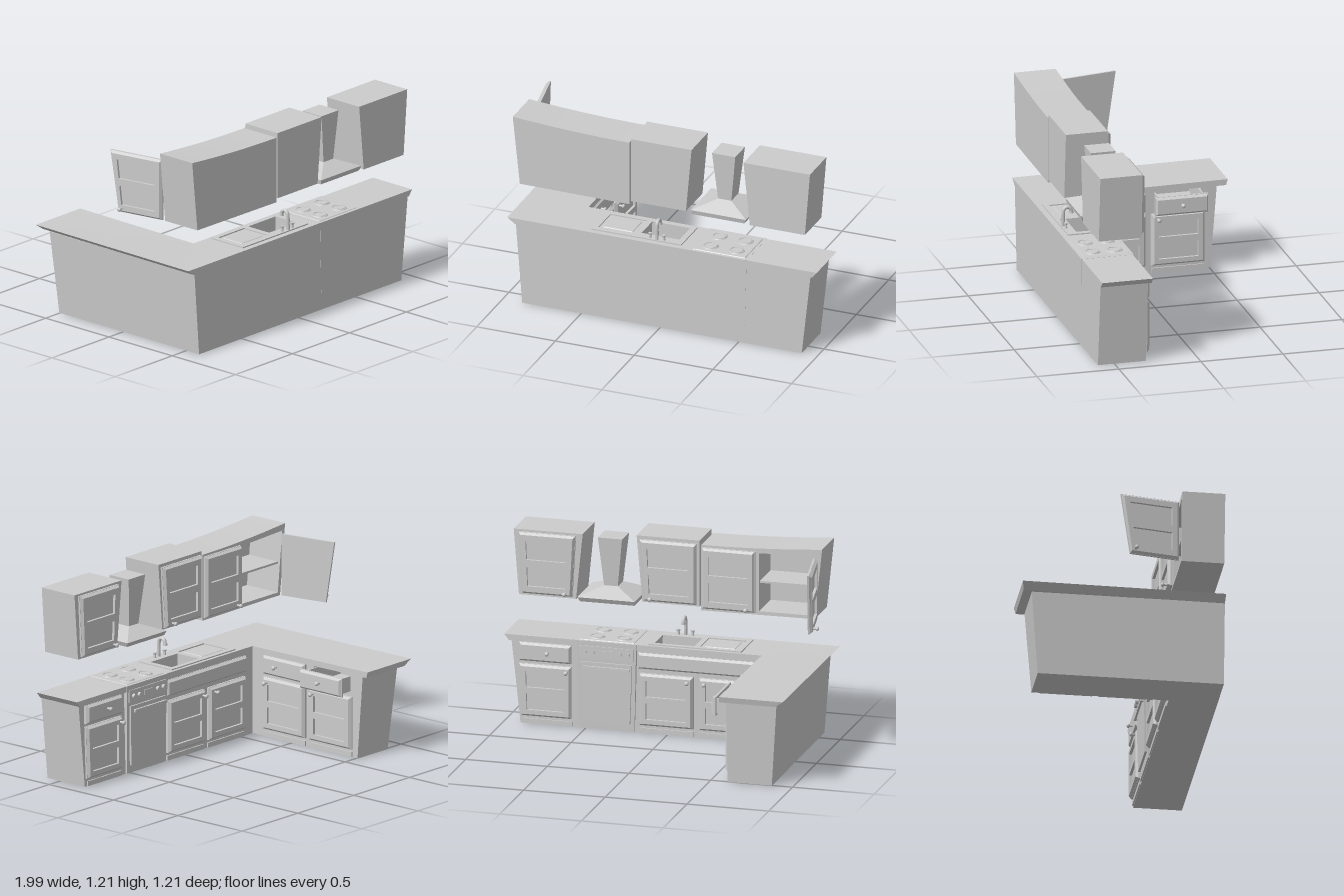
import * as THREE from 'three';

const grey = new THREE.MeshStandardMaterial({ color: 0xcccccc, side: THREE.DoubleSide });

function add(parent, name, geo, x = 0, y = 0, z = 0) {
  const m = new THREE.Mesh(geo, grey);
  m.name = name;
  m.position.set(x, y, z);
  parent.add(m);
  return m;
}

// Move every vertex by a rule, then refresh the normals
function warp(geo, rule) {
  const p = geo.attributes.position, v = new THREE.Vector3();
  for (let i = 0; i < p.count; i++) {
    rule(v.fromBufferAttribute(p, i));
    p.setXYZ(i, v.x, v.y, v.z);
  }
  geo.computeVertexNormals();
  return geo;
}

// Block between a bottom and a top rectangle, each [x0, x1, z0, z1]
function block(b, y0, t, y1) {
  return warp(new THREE.BoxGeometry(1, 1, 1), v => {
    const r = v.y > 0 ? t : b;
    v.set(v.x < 0 ? r[0] : r[1], v.y > 0 ? y1 : y0, v.z < 0 ? r[2] : r[3]);
  });
}

const rect = (a, b, c, d) => [[a, c], [b, c], [b, d], [a, d]];
const toPoints = (pts, s = 1) => pts.map(([a, b]) => new THREE.Vector2(a, b * s));

// Horizontal slab from an [x, z] outline with holes
function slab(outline, holes, y0, y1) {
  const shape = new THREE.Shape(toPoints(outline, -1));
  shape.holes = holes.map(h => new THREE.Path(toPoints(h, -1)));
  return new THREE.ExtrudeGeometry(shape, { depth: y1 - y0, bevelEnabled: false })
    .rotateX(-Math.PI / 2).translate(0, y0, 0);
}

function knob(parent, x, y, z) {
  const g = new THREE.Group();
  g.name = 'knob';
  g.position.set(x, y, z);
  add(g, 'knobStem', new THREE.CylinderGeometry(0.006, 0.008, 0.025, 8).rotateX(Math.PI / 2), 0, 0, 0.01);
  add(g, 'knobHead', new THREE.SphereGeometry(0.013, 12, 8).scale(1, 1, 0.8), 0, 0, 0.025);
  parent.add(g);
}

// Bevelled front facing local +z, with recessed panels; taper = [left, right] narrowing at the bottom
function front(parent, name, w, h, panels, knobAt, taper = [0, 0]) {
  const g = new THREE.Group();
  g.name = name;
  const b = 0.014, a = w / 2 - b, c = h / 2 - b;
  const shape = new THREE.Shape(toPoints(rect(-a, a, -c, c)));
  const ph = h * 0.31;
  for (let i = 0; i < panels; i++) {
    const y = (i ? -1 : 1) * h * 0.215;
    shape.holes.push(new THREE.Path(toPoints(rect(-w * 0.37, w * 0.37, y - ph / 2, y + ph / 2))));
  }
  const lean = v => { v.x *= 1 - (v.x < 0 ? taper[0] : taper[1]) * (0.5 - v.y / h); };
  const frame = new THREE.ExtrudeGeometry(shape, { depth: 0.018, bevelEnabled: false });
  add(g, 'frame', warp(frame, v => {
    if (v.z < 0.001 && Math.abs(v.x) > a - 1e-4 && Math.abs(v.y) > c - 1e-4) {
      v.x += Math.sign(v.x) * b;
      v.y += Math.sign(v.y) * b;
    }
    v.z += 0.01;
    lean(v);
  }));
  add(g, 'backPanel', warp(new THREE.BoxGeometry(w, h, 0.012).translate(0, 0, 0.006), lean));
  if (knobAt) knob(g, knobAt[0], knobAt[1], 0.028);
  parent.add(g);
  return g;
}

function place(g, x, y, z, turn) {
  g.position.set(x, y, z);
  g.rotation.y = turn;
}

function baseCabinets(root) {
  const basin = rect(-0.16, 0.09, 0.335, 0.51);
  const lean = v => {
    const k = 1 - v.y / 0.505;
    if (v.x > 0.9) v.x -= 0.055 * k;
    if (v.x < -0.9) v.x += 0.04 * k;
    if (v.z < -0.5) v.z += 0.04 * k;
  };
  const start = [[-0.915, 0.6], [0.955, 0.6], [0.955, 0.31], [-0.605, 0.31]];
  const end = [[-0.605, -0.545], [-0.915, -0.545]];
  const pocket = [[-0.605, -0.165], [-0.85, -0.165], [-0.85, -0.45], [-0.605, -0.45]];
  add(root, 'baseLower', warp(slab([...start, ...end], [], 0, 0.395), lean));
  add(root, 'baseUpper', warp(slab([...start, ...pocket, ...end], [basin], 0.395, 0.507), lean));

  // Worktop with undercut ends, rising slightly along the side wing
  const top = [[-0.97, 0.6], [0.995, 0.6], [0.995, 0.29], [-0.58, 0.29], [-0.58, -0.605], [-0.97, -0.605]];
  add(root, 'worktop', warp(slab(top, [basin], 0.505, 0.541), v => {
    if (v.y < 0.52) {
      if (v.x > 0.95) v.x -= 0.03;
      if (v.x < -0.95) v.x += 0.05;
      if (v.z < -0.5) v.z += 0.01;
    }
    if (v.z < 0) v.y += 0.008;
  }));

  // Side wing: doors and drawers facing +x
  const q = Math.PI / 2;
  for (const [z, kz, open] of [[0.055, 0.105, 0], [-0.305, -0.305, 0.085]]) {
    const d = front(root, 'wingDrawerFront', 0.325, 0.115, 0, [z - kz, 0.005]);
    place(d, -0.605 + open, 0.442, z, q);
    place(front(root, 'wingDoor', 0.325, 0.32, 2, [-0.125, 0.13]), -0.605, 0.208, z, q);
    add(root, 'wingPlinth', new THREE.BoxGeometry(0.012, 0.03, 0.32), -0.603, 0.016, z);
  }

  // Pulled-out drawer box
  const tray = new THREE.Group();
  tray.name = 'openDrawerBox';
  add(tray, 'drawerFloor', new THREE.BoxGeometry(0.32, 0.008, 0.28), -0.68, 0.402, -0.307);
  for (const z of [-0.443, -0.172]) add(tray, 'drawerSide', new THREE.BoxGeometry(0.32, 0.09, 0.01), -0.68, 0.445, z);
  add(tray, 'drawerBack', new THREE.BoxGeometry(0.01, 0.09, 0.28), -0.837, 0.445, -0.307);
  root.add(tray);

  // Main run: fronts facing -z
  const sinkDoors = [[-0.36, -0.235], [0.005, -0.13]];
  for (const [x, kx] of sinkDoors) {
    place(front(root, 'sinkDoor', 0.33, 0.32, 2, [x - kx, 0.13]), x, 0.208, 0.31, Math.PI);
    add(root, 'sinkPlinth', new THREE.BoxGeometry(0.33, 0.03, 0.012), x, 0.016, 0.308);
  }
  place(front(root, 'sinkPanel', 0.72, 0.1, 0), -0.18, 0.442, 0.318, Math.PI);
  place(front(root, 'endDrawer', 0.32, 0.115, 0, [0.02, 0.005]), 0.745, 0.442, 0.31, Math.PI);
  place(front(root, 'endDoor', 0.32, 0.32, 2, [0.135, 0.13], [0.08, 0]), 0.745, 0.208, 0.31, Math.PI);
  add(root, 'endPlinth', new THREE.BoxGeometry(0.3, 0.03, 0.012), 0.73, 0.016, 0.308);
}

function sink(root) {
  const g = new THREE.Group();
  g.name = 'sink';
  add(g, 'sinkRim', slab(rect(-0.45, 0.12, 0.31, 0.565),
    [rect(-0.155, 0.085, 0.34, 0.505), rect(-0.42, -0.19, 0.34, 0.53)], 0.535, 0.548));
  add(g, 'drainboard', block([-0.4, -0.21, 0.36, 0.51], 0.54, [-0.395, -0.215, 0.365, 0.505], 0.545));
  add(g, 'drain', new THREE.CylinderGeometry(0.022, 0.022, 0.006, 16), -0.035, 0.398, 0.42);
  const path = [[0.545, 0.552], [0.58, 0.55], [0.62, 0.55], [0.65, 0.545], [0.662, 0.528], [0.654, 0.508], [0.63, 0.5]];
  const curve = new THREE.CatmullRomCurve3(path.map(([y, z]) => new THREE.Vector3(-0.04, y, z)));
  add(g, 'tap', new THREE.TubeGeometry(curve, 24, 0.011, 10));
  add(g, 'tapSpout', new THREE.CylinderGeometry(0.012, 0.013, 0.012, 10), -0.04, 0.63, 0.5);
  for (const x of [-0.085, 0.002]) {
    add(g, 'tapHandleStem', new THREE.CylinderGeometry(0.006, 0.01, 0.03, 10), x, 0.558, 0.545);
    add(g, 'tapHandle', new THREE.CylinderGeometry(0.012, 0.01, 0.012, 10), x, 0.574, 0.545);
  }
  root.add(g);
}

function stove(root) {
  const g = new THREE.Group();
  g.name = 'stove';
  add(g, 'stoveBody', block([0.2, 0.535, 0.3, 0.6], 0.002, [0.185, 0.55, 0.284, 0.602], 0.542));
  add(g, 'hobPlate', block([0.2, 0.535, 0.3, 0.585], 0.54, [0.205, 0.53, 0.305, 0.58], 0.546));
  for (const x of [0.285, 0.45]) for (const z of [0.375, 0.51]) {
    add(g, 'burner', new THREE.CylinderGeometry(0.046, 0.05, 0.006, 24), x, 0.547, z);
    add(g, 'burnerRing', new THREE.TorusGeometry(0.038, 0.004, 6, 24).rotateX(Math.PI / 2), x, 0.55, z);
  }
  // Control strip
  add(g, 'controlStrip', new THREE.BoxGeometry(0.335, 0.075, 0.01), 0.367, 0.475, 0.284);
  add(g, 'display', new THREE.BoxGeometry(0.08, 0.03, 0.008), 0.367, 0.475, 0.278);
  for (const x of [0.235, 0.285, 0.45, 0.5])
    add(g, 'controlKnob', new THREE.CylinderGeometry(0.013, 0.015, 0.022, 14).rotateX(Math.PI / 2), x, 0.475, 0.272);
  // Oven door and bar handle
  add(g, 'ovenDoor', block([0.225, 0.51, 0.285, 0.31], 0.05, [0.21, 0.525, 0.278, 0.3], 0.415));
  add(g, 'ovenHandle', new THREE.BoxGeometry(0.285, 0.018, 0.012), 0.362, 0.385, 0.265);
  for (const x of [0.235, 0.49]) add(g, 'handlePost', new THREE.BoxGeometry(0.014, 0.014, 0.02), x, 0.385, 0.275);
  root.add(g);
}

function wallUnits(root) {
  // Long unit with a sagging top and an open compartment
  const s = new THREE.Shape();
  s.moveTo(-0.89, 0.775);
  s.lineTo(-0.195, 0.77);
  s.lineTo(-0.195, 1.172);
  s.quadraticCurveTo(-0.55, 1.172, -0.935, 1.205);
  s.holes.push(new THREE.Path(toPoints([[-0.87, 0.795], [-0.55, 0.795], [-0.55, 1.15], [-0.91, 1.165]])));
  add(root, 'longWallUnit', new THREE.ExtrudeGeometry(s, { depth: 0.24, bevelEnabled: false }), 0, 0, 0.345);
  s.holes = [];
  add(root, 'longUnitBack', new THREE.ExtrudeGeometry(s, { depth: 0.015, bevelEnabled: false }), 0, 0, 0.585);
  add(root, 'shelf', block([-0.887, -0.55, 0.36, 0.59], 0.965, [-0.888, -0.55, 0.36, 0.59], 0.977));
  add(root, 'middleWallUnit', block([-0.185, 0.165, 0.345, 0.6], 0.792, [-0.185, 0.2, 0.345, 0.6], 1.197));
  add(root, 'endWallUnit', block([0.57, 0.92, 0.345, 0.6], 0.775, [0.53, 0.952, 0.345, 0.6], 1.175));

  place(front(root, 'longUnitDoor', 0.325, 0.375, 2, [0.115, -0.165]), -0.365, 0.972, 0.345, Math.PI);
  place(front(root, 'middleUnitDoor', 0.35, 0.375, 2, [-0.1, -0.165], [0.15, 0]), 0.005, 0.99, 0.345, Math.PI);
  place(front(root, 'endUnitDoor', 0.35, 0.375, 2, [0.115, -0.165], [0.12, 0.12]), 0.745, 0.975, 0.345, Math.PI);
  place(front(root, 'openDoor', 0.36, 0.375, 2, [-0.095, -0.16], [0.32, 0]), -0.917, 0.965, 0.152, -1.39);
}

function hood(root) {
  const g = new THREE.Group();
  g.name = 'extractorHood';
  add(g, 'chimney', block([0.328, 0.412, 0.39, 0.5], 0.858, [0.295, 0.443, 0.365, 0.515], 1.157));
  add(g, 'canopy', block([0.195, 0.546, 0.285, 0.602], 0.805, [0.328, 0.412, 0.39, 0.5], 0.86));
  add(g, 'canopyLip', block([0.2, 0.533, 0.3, 0.595], 0.777, [0.195, 0.546, 0.285, 0.602], 0.805));
  add(g, 'filter', new THREE.BoxGeometry(0.25, 0.006, 0.21), 0.367, 0.776, 0.448);
  root.add(g);
}

export function createModel() {
  const root = new THREE.Group();
  root.name = 'kitchen';
  baseCabinets(root);
  sink(root);
  stove(root);
  wallUnits(root);
  hood(root);
  return root;
}
